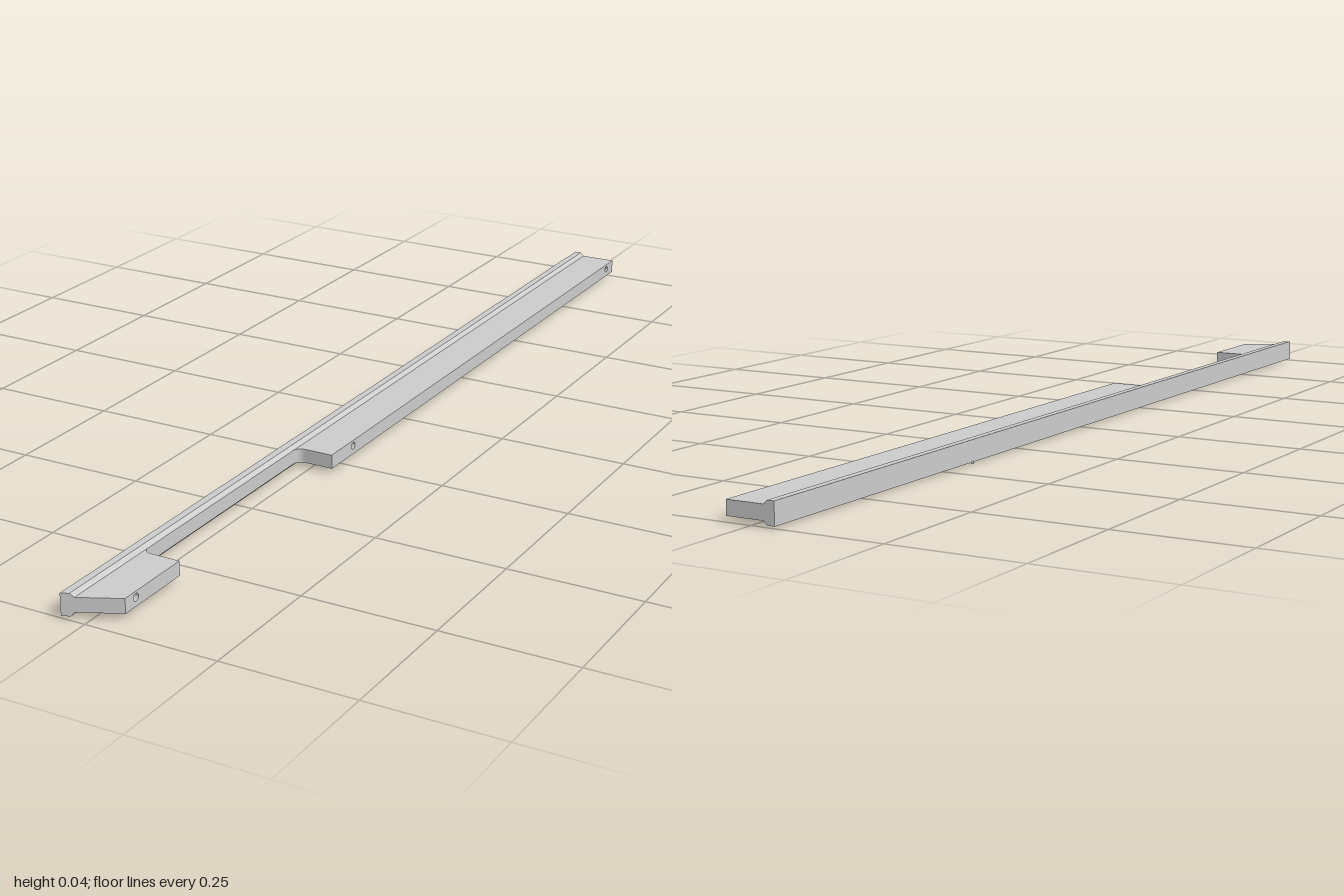
import * as THREE from 'three';

const material = new THREE.MeshStandardMaterial({ color: 0xcccccc, flatShading: true });
const LEFT = -0.046, WEB = -0.025, EDGE = 0.048; // x: rail back, flange root, flange edge
const BOTTOM = 0.011, TOP = 0.038;               // y: flange faces
const HOLE_Y = 0.027, HOLE_R = 0.007, HOLE_DEPTH = 0.045;

// Mitre the front end: it recedes towards the flange edge
function mitre(geometry) {
  const p = geometry.attributes.position;
  for (let i = 0; i < p.count; i++) {
    if (p.getZ(i) > 0.99) p.setZ(i, 1 - (p.getX(i) - LEFT) * 0.48);
  }
  geometry.computeVertexNormals();
  return geometry;
}

function add(group, name, geometry) {
  const mesh = new THREE.Mesh(geometry, material);
  mesh.name = name;
  group.add(mesh);
  return mesh;
}

// Flange block between two z values, with blind holes in its outer edge
function flange(group, name, z0, z1, holes) {
  const part = new THREE.Group();
  part.name = name;
  const shape = new THREE.Shape();
  shape.moveTo(-z1, BOTTOM).lineTo(-z0, BOTTOM).lineTo(-z0, TOP).lineTo(-z1, TOP).closePath();
  for (const z of holes) {
    shape.holes.push(new THREE.Path().absarc(-z, HOLE_Y, HOLE_R, 0, Math.PI * 2, true));
    const floor = add(part, 'holeFloor', new THREE.CircleGeometry(HOLE_R, 24).rotateY(Math.PI / 2));
    floor.position.set(EDGE - HOLE_DEPTH, HOLE_Y, z);
  }
  const body = new THREE.ExtrudeGeometry(shape, { depth: EDGE - WEB, bevelEnabled: false, curveSegments: 12 });
  add(part, 'flangeBody', mitre(body.rotateY(Math.PI / 2).translate(WEB, 0, 0)));
  group.add(part);
}

// Concave fillet where a flange end meets the rail; dir points into the gap
function fillet(group, z, dir) {
  const r = 0.016, pts = [new THREE.Vector2(WEB, z)];
  for (let i = 0; i <= 8; i++) {
    const a = (i / 8) * Math.PI / 2;
    pts.push(new THREE.Vector2(WEB + r * (1 - Math.sin(a)), z + dir * r * (1 - Math.cos(a))));
  }
  const geometry = new THREE.ExtrudeGeometry(new THREE.Shape(pts), { depth: TOP - BOTTOM, bevelEnabled: false });
  add(group, 'gapFillet', geometry.rotateX(Math.PI / 2).translate(0, TOP, 0));
}

export function createModel() {
  const model = new THREE.Group();
  model.name = 'notchedRail';

  // Full-length rail with chamfered shoulders
  const profile = new THREE.Shape([
    [LEFT, 0.004], [-0.032, 0.004], [WEB, BOTTOM], [WEB, TOP], [-0.032, 0.045], [LEFT, 0.045],
  ].map(([x, y]) => new THREE.Vector2(x, y)));
  const rail = new THREE.ExtrudeGeometry(profile, { depth: 2, bevelEnabled: false });
  add(model, 'rail', mitre(rail.translate(0, 0, -1)));

  // Long rear flange and short front flange, separated by a gap
  flange(model, 'rearFlange', -1, 0.3, [-0.965, 0.22]);
  flange(model, 'frontFlange', 0.8, 1, [0.925]);
  fillet(model, 0.3, 1);
  fillet(model, 0.8, -1);

  // Tiny locating bead on the lower back edge
  const bead = add(model, 'locatingBead', new THREE.SphereGeometry(0.0028, 12, 8));
  bead.position.set(-0.0465, 0.0035, -0.416);

  return model;
}
